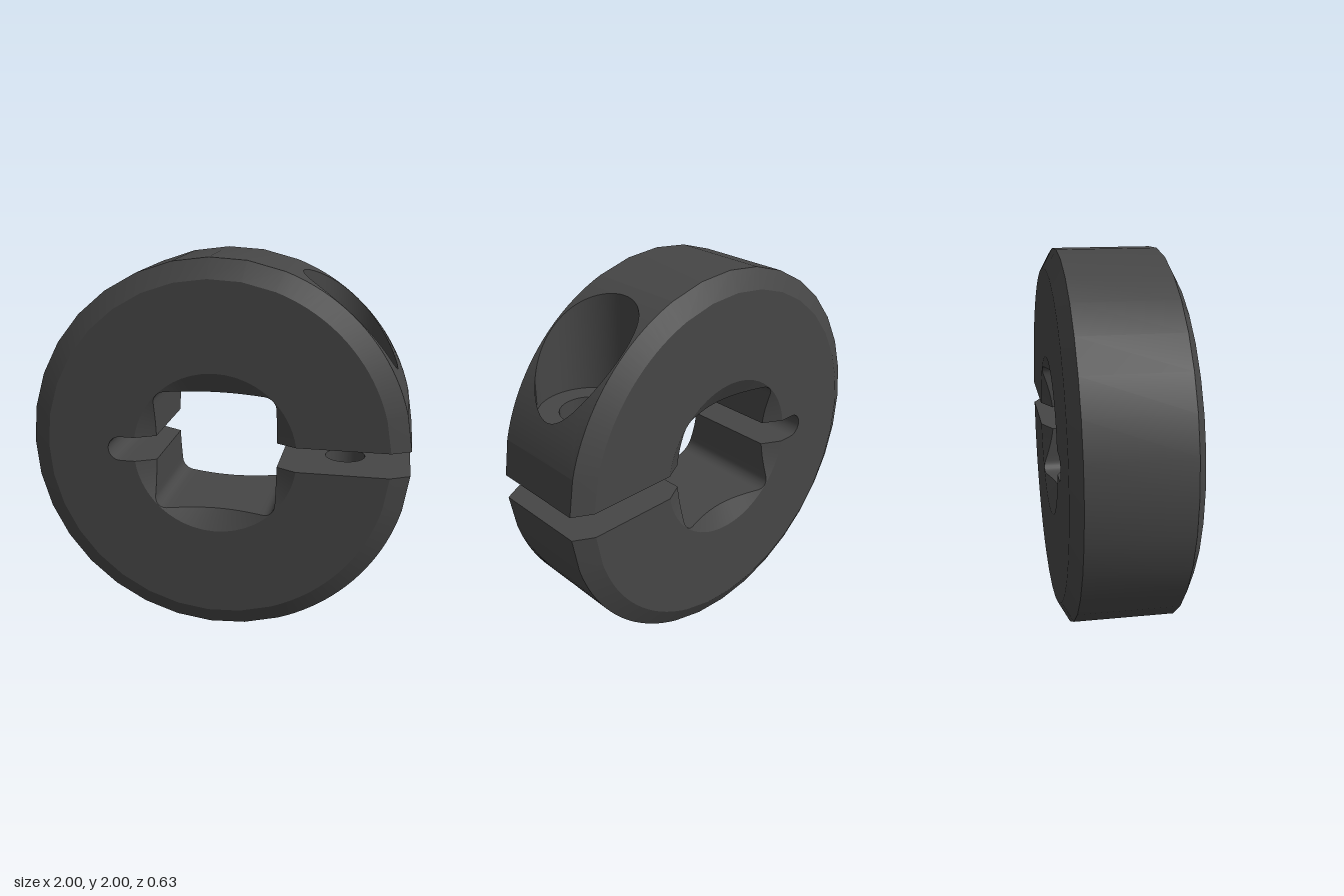
import * as THREE from 'three';
import { toCreasedNormals } from 'three/addons/utils/BufferGeometryUtils.js';

// Main sizes; the collar's axis is z and its centre is the local origin
const R = 1, FACE_R = 0.9, HALF = 0.315, BAND = 0.26;   // outside and its chamfer
const SLIT = 0.065, SLOT_X = -0.505;                    // half slit height, slot end centre
const BORE = 0.32, FILLET = 0.06, SINK_R = 0.43, SLOPE = 0.55;
const HOLE_X = 0.655, HEAD_R = 0.25, CLEAR_R = 0.145, THREAD_R = 0.105, FLOOR_Y = 0.4;

const metal = new THREE.MeshStandardMaterial({ color: 0x464646, side: THREE.DoubleSide });
metal.name = 'dark metal';

// Surface through rows of [x, y, z] points; it faces (along row) x (to next row)
function loft(rows) {
  const n = rows[0].length, index = [];
  for (let j = 0; j < rows.length - 1; j++) {
    for (let i = 0; i < n - 1; i++) {
      const a = j * n + i, b = a + n;
      index.push(a, a + 1, b + 1, a, b + 1, b);
    }
  }
  const g = new THREE.BufferGeometry();
  g.setAttribute('position', new THREE.Float32BufferAttribute(rows.flat(2), 3));
  g.setIndex(index);
  return toCreasedNormals(g, 0.5);
}

const steps = (n, f) => Array.from({ length: n + 1 }, (_, i) => f(i / n));
const toShape = pts => new THREE.Shape(pts.map(p => new THREE.Vector2(p[0], p[1])));

// Angle on a circle of radius r that runs from one lip of the slit to the other, t = 0..1
function rimAngle(t, r) {
  const a = Math.asin(SLIT / r);
  return a + t * (2 * Math.PI - 2 * a);
}
const rimRow = (ts, r, z) => ts.map(t => {
  const a = rimAngle(t, r);
  return [r * Math.cos(a), r * Math.sin(a), z];
});

// Screw hole circle, starting at 45 degrees so it pairs with a rectangle's corners
const N = 80;
const holePoint = (u, r) => {
  const a = Math.PI / 4 + u * 2 * Math.PI;
  return [HOLE_X + r * Math.cos(a), r * Math.sin(a)];
};
const holeRow = (r, y) => steps(N, u => {
  const [x, z] = holePoint(u, r);
  return [x, y, z];
});
// The same circle carried up or down to the round outside
const holeRim = (r, side) => steps(N, u => {
  const [x, z] = holePoint(u, r);
  return [x, side * Math.sqrt(R * R - x * x), z];
});

// Piece of the outside around a screw hole
function holePatch(r, side) {
  const a0 = rimAngle(1 / 32, R), a1 = rimAngle(6 / 32, R);
  const corners = [[a0, BAND], [a1, BAND], [a1, -BAND], [a0, -BAND], [a0, BAND]];
  const rows = steps(8, v => steps(N, u => {
    const k = Math.min(3, Math.floor(u * 4 + 1e-6)), f = u * 4 - k;
    const [hx, hz] = holePoint(u, r), ha = Math.acos(hx);
    const ra = THREE.MathUtils.lerp(corners[k][0], corners[k + 1][0], f);
    const rz = THREE.MathUtils.lerp(corners[k][1], corners[k + 1][1], f);
    const a = THREE.MathUtils.lerp(ha, ra, v);
    return [R * Math.cos(a), side * R * Math.sin(a), THREE.MathUtils.lerp(hz, rz, v)];
  }));
  return loft(side > 0 ? rows : rows.reverse());
}

// Flat lip of the slit, with its screw hole
function slitLip(r, side) {
  const atY = q => Math.sqrt(q * q - SLIT * SLIT);
  const zi = HALF - (SINK_R - Math.hypot(BORE, SLIT)) * SLOPE;
  const edge = [[BORE, zi], [atY(SINK_R), HALF], [atY(FACE_R), HALF], [atY(R), BAND]];
  const shape = toShape([...edge, ...edge.map(([x, z]) => [x, -z]).reverse()]);
  shape.holes.push(new THREE.Path().absarc(HOLE_X, 0, r, 0, Math.PI * 2, true));
  const g = new THREE.ShapeGeometry(shape, 48);
  return g.rotateX(side * Math.PI / 2).translate(0, side * SLIT, 0);
}

export function createModel() {
  const model = new THREE.Group();
  model.name = 'clampCollar';
  model.position.y = 1;
  const add = (name, geometry) => {
    const mesh = new THREE.Mesh(geometry, metal);
    mesh.name = name;
    model.add(mesh);
    return mesh;
  };

  // Rim steps: 32 sides, finer beside the screw holes
  const range = (a, b, s) => steps(Math.round((b - a) / s), t => (a + t * (b - a)) / 32);
  const rim = [0, ...range(1, 6, 0.25), ...range(7, 25, 1), ...range(26, 31, 0.25), 1];

  // Round outside and chamfers
  for (const [a, b] of [[0, 1], [6, 26], [31, 32]]) {
    const ts = range(a, b, 1);
    add('outerBand', loft([rimRow(ts, R, -BAND), rimRow(ts, R, BAND)]));
  }
  add('frontChamfer', loft([rimRow(rim, R, BAND), rimRow(rim, FACE_R, HALF)]));
  add('backChamfer', loft([rimRow(rim, FACE_R, -HALF), rimRow(rim, R, -BAND)]));
  add('headHoleSurround', holePatch(HEAD_R, 1));
  add('threadHoleSurround', holePatch(THREAD_R, -1));

  // Upper half of the square bore, from the slit round to the slot
  const c = BORE - FILLET;
  const quarter = [
    ...steps(6, t => [BORE, SLIT + t * (c - SLIT)]),
    ...steps(6, t => [c + FILLET * Math.cos(t * Math.PI / 2), c + FILLET * Math.sin(t * Math.PI / 2)]).slice(1),
    ...steps(6, t => [c * (1 - t), BORE]).slice(1),
  ];
  const bore = [...quarter, ...quarter.slice(0, -1).reverse().map(([x, y]) => [-x, y])];

  // Upper half of the countersink's circle, matched point by point to the bore
  const a0 = Math.atan2(SLIT, BORE), b0 = Math.asin(SLIT / SINK_R);
  const sink = bore.map(([x, y]) => {
    const t = (Math.atan2(y, x) - a0) / (Math.PI - 2 * a0);
    const a = b0 + t * (Math.PI - 2 * b0);
    return [SINK_R * Math.cos(a), SINK_R * Math.sin(a)];
  });

  // Adds the round-ended slot and the mirrored lower half to an upper contour
  const slot = steps(8, t => {
    const a = Math.PI / 2 * (1 + t);
    return [SLOT_X + SLIT * Math.cos(a), SLIT * Math.sin(a)];
  });
  const withSlot = upper => {
    const half = [...upper, ...slot];
    return [...half, ...half.slice(0, -1).reverse().map(([x, y]) => [x, -y])];
  };
  const depth = ([x, y]) => HALF - Math.max(0, SINK_R - Math.hypot(x, y)) * SLOPE;

  // Bore and slot walls
  const wall = withSlot([...bore, sink[sink.length - 1]]);
  add('boreWall', loft([1, -1].map(s => wall.map(p => [...p, s * depth(p)]))));

  // Countersink, four equal pieces
  const cone = loft([sink.map(p => [...p, HALF]), bore.map(p => [...p, depth(p)])]);
  add('countersink', cone);
  for (const axis of ['x', 'y', 'z']) add('countersink', cone).rotation[axis] = Math.PI;

  // Flat front and back
  const face = toShape([...rimRow(rim, FACE_R, 0), ...withSlot(sink).reverse()]);
  const faceGeometry = new THREE.ShapeGeometry(face).translate(0, 0, HALF);
  add('frontFace', faceGeometry);
  add('backFace', faceGeometry).rotation.x = Math.PI;

  // Slit lips and the stepped screw hole
  add('upperSlitLip', slitLip(CLEAR_R, 1));
  add('lowerSlitLip', slitLip(THREAD_R, -1));
  add('headHoleWall', loft([holeRow(HEAD_R, FLOOR_Y), holeRim(HEAD_R, 1)]));
  add('headHoleFloor', loft([holeRow(CLEAR_R, FLOOR_Y), holeRow(HEAD_R, FLOOR_Y)]));
  add('clearanceHoleWall', loft([holeRow(CLEAR_R, SLIT), holeRow(CLEAR_R, FLOOR_Y)]));
  add('threadHoleWall', loft([holeRim(THREAD_R, -1), holeRow(THREAD_R, -SLIT)]));

  const root = new THREE.Group();
  root.name = 'collar';
  root.add(model);
  return root;
}
